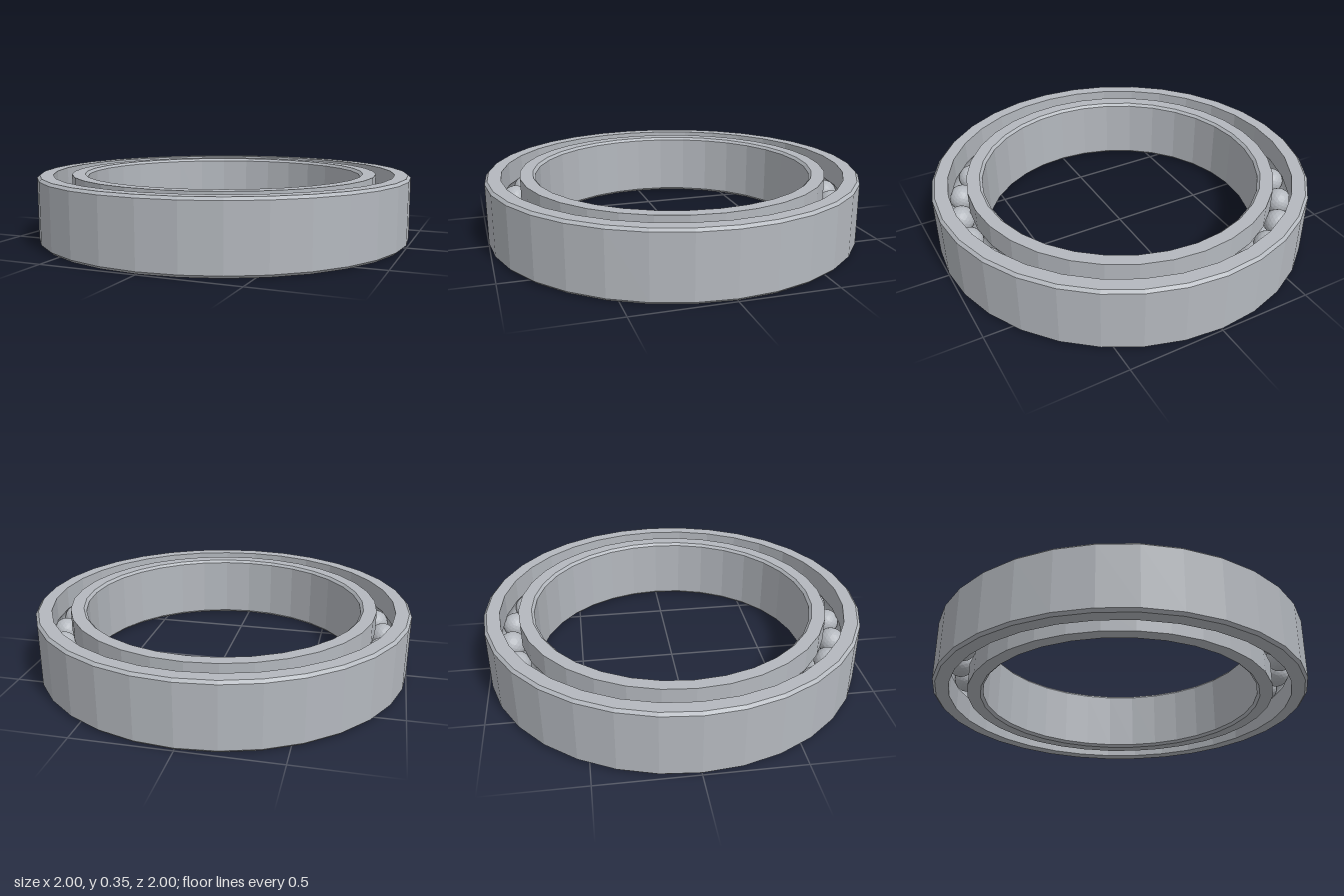
import * as THREE from 'three';

const HEIGHT = 0.35, MID = HEIGHT / 2, CHAMFER = 0.014, SEGMENTS = 32;
const PITCH = 0.867, BALL_RADIUS = 0.07, BALL_COUNT = 27;
const GROOVE_RADIUS = 0.072;

// Half of the ball groove: an arc cut into the wall at wallRadius.
// side +1 bulges outwards, -1 inwards; the arc runs in the direction `dir` of y.
function groove(wallRadius, side, dir) {
  const limit = Math.acos(Math.abs(wallRadius - PITCH) / GROOVE_RADIUS);
  const points = [];
  for (let i = 0; i <= 8; i++) {
    const a = dir * limit * (i / 4 - 1);
    points.push(new THREE.Vector2(
      PITCH + side * GROOVE_RADIUS * Math.cos(a),
      MID + GROOVE_RADIUS * Math.sin(a)));
  }
  return points;
}

export function createModel() {
  const model = new THREE.Group();
  model.name = 'ballBearing';
  const steel = new THREE.MeshStandardMaterial({ color: 0xb4b8be });
  steel.name = 'steel';
  steel.flatShading = true;
  const v = (x, y) => new THREE.Vector2(x, y);

  function addRing(name, profile) {
    const ring = new THREE.Mesh(new THREE.LatheGeometry(profile, SEGMENTS), steel);
    ring.name = name;
    model.add(ring);
  }

  // Outer race: chamfered outside, groove on its inner wall
  const outer = 1, outerWall = 0.917;
  addRing('outerRace', [
    v(outerWall, 0), v(outer - CHAMFER, 0), v(outer, CHAMFER),
    v(outer, HEIGHT - CHAMFER), v(outer - CHAMFER, HEIGHT), v(outerWall, HEIGHT),
    ...groove(outerWall, 1, -1),
    v(outerWall, 0),
  ]);

  // Inner race: chamfered bore, groove on its outer wall
  const bore = 0.738, innerWall = 0.82;
  addRing('innerRace', [
    v(bore + CHAMFER, 0), v(innerWall, 0),
    ...groove(innerWall, -1, 1),
    v(innerWall, HEIGHT), v(bore + CHAMFER, HEIGHT),
    v(bore, HEIGHT - CHAMFER), v(bore, CHAMFER), v(bore + CHAMFER, 0),
  ]);

  // Balls evenly spaced between the races
  const balls = new THREE.Group();
  balls.name = 'balls';
  const ballGeometry = new THREE.IcosahedronGeometry(BALL_RADIUS, 3);
  for (let i = 0; i < BALL_COUNT; i++) {
    const a = (i / BALL_COUNT) * Math.PI * 2;
    const ball = new THREE.Mesh(ballGeometry, steel);
    ball.name = 'ball';
    ball.position.set(PITCH * Math.cos(a), MID, PITCH * Math.sin(a));
    ball.rotation.y = -a;
    balls.add(ball);
  }
  model.add(balls);
  return model;
}
